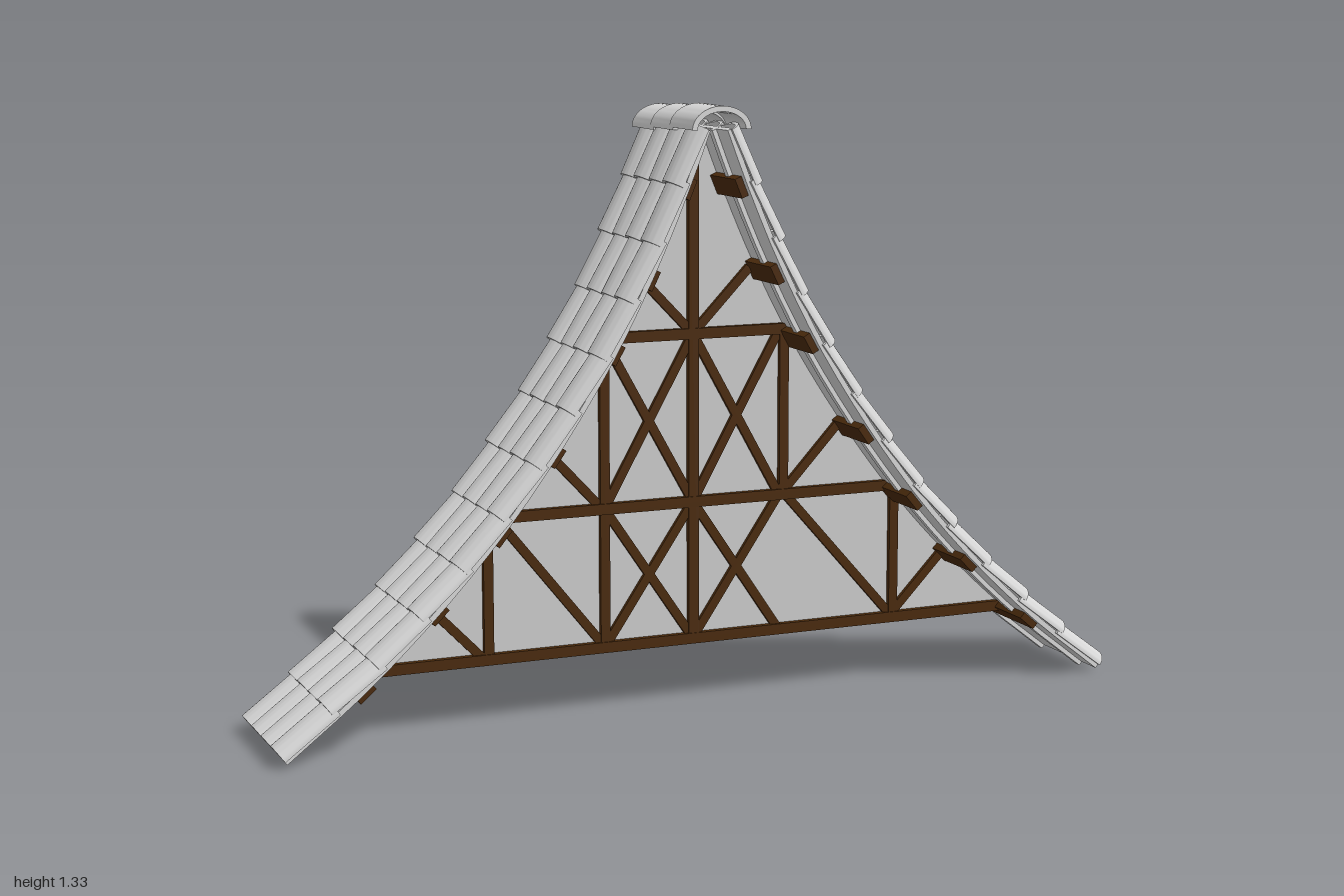
import * as THREE from 'three';
import { toCreasedNormals } from 'three/addons/utils/BufferGeometryUtils.js';

const tileMat = new THREE.MeshStandardMaterial({ color: 0xd8d8d8 });
tileMat.name = 'pale grey tile';
const wallMat = new THREE.MeshStandardMaterial({ color: 0xcccccc });
wallMat.name = 'grey plaster';
const woodMat = new THREE.MeshStandardMaterial({ color: 0x4a2a0c });
woodMat.name = 'dark wood';

// Underside line of one roof slope, from ridge to eave
const slope = new THREE.CatmullRomCurve3([
  [0.02, 1.285], [0.065, 1.17], [0.14, 1.0], [0.24, 0.81], [0.36, 0.625],
  [0.485, 0.46], [0.62, 0.31], [0.79, 0.15], [0.965, 0.012],
].map(([x, y]) => new THREE.Vector3(x, y, 0)));

const normalOf = (t) => new THREE.Vector3(-t.y, t.x, 0);

// Point on the slope moved outward by a distance
function slopePoint(u, off) {
  return slope.getPointAt(u).addScaledVector(normalOf(slope.getTangentAt(u)), off);
}

function add(parent, name, geometry, material) {
  const mesh = new THREE.Mesh(geometry, material);
  mesh.name = name;
  parent.add(mesh);
  return mesh;
}

function extrude(shape, depth, curveSegments = 10) {
  return new THREE.ExtrudeGeometry(shape, { depth, bevelEnabled: false, curveSegments });
}

// Arched cross-section shared by roof tiles and ridge caps
function archGeometry(rx, ry, thick, depth) {
  const s = new THREE.Shape();
  s.moveTo(rx, 0);
  s.absellipse(0, 0, rx, ry, 0, Math.PI, false);
  s.lineTo(-rx + thick, 0);
  s.absellipse(0, 0, rx - thick, ry - thick, Math.PI, 0, true);
  s.closePath();
  return toCreasedNormals(extrude(s, depth, 12), 0.7);
}

// Curved sheet following the slope between two offsets
function slopeSheet(lo, hi, width) {
  const pts = [];
  const n = 24;
  for (let i = 0; i <= n; i++) pts.push(slopePoint(i / n, lo));
  for (let i = n; i >= 0; i--) pts.push(slopePoint(i / n, hi));
  const g = extrude(new THREE.Shape(pts.map((p) => new THREE.Vector2(p.x, p.y))), width);
  return toCreasedNormals(g.translate(0, 0, -width / 2), 0.5);
}

function buildSlope() {
  const side = new THREE.Group();
  add(side, 'roofDeck', slopeSheet(0, 0.012, 0.31), tileMat);
  for (const z of [-0.085, 0.085]) {
    add(side, 'channelStrip', slopeSheet(-0.01, 0.002, 0.018), tileMat).position.z = z;
  }

  // Four columns of overlapping arched tiles
  const rows = 12;
  const tile = archGeometry(0.041, 0.03, 0.008, 1);
  for (let c = 0; c < 4; c++) {
    for (let r = 0; r < rows; r++) {
      const lift = (r + c) % 2 ? 0.015 : 0.018;
      const a = slopePoint(Math.max(0, (r - 0.1) / rows), 0.007);
      const b = slopePoint((r + 1) / rows, r === rows - 1 ? 0.01 : lift);
      const dir = b.clone().sub(a);
      const len = dir.length();
      dir.normalize();
      const m = new THREE.Matrix4().makeBasis(new THREE.Vector3(0, 0, -1), normalOf(dir), dir);
      const mesh = add(side, 'roofTile', tile, tileMat);
      mesh.quaternion.setFromRotationMatrix(m);
      mesh.position.copy(a).setZ((c - 1.5) * 0.0815);
      mesh.scale.z = len;
    }
  }

  // Purlins carrying the slope
  const purlin = new THREE.BoxGeometry(0.045, 0.024, 0.28);
  for (const y of [1.165, 0.975, 0.82, 0.61, 0.45, 0.295, 0.145]) {
    let lo = 0, hi = 1;
    for (let i = 0; i < 24; i++) {
      const mid = (lo + hi) / 2;
      if (slope.getPointAt(mid).y > y) lo = mid; else hi = mid;
    }
    const t = slope.getTangentAt(lo);
    const mesh = add(side, 'purlin', purlin, woodMat);
    mesh.position.copy(slopePoint(lo, -0.004));
    mesh.rotation.z = Math.atan2(t.y, t.x);
  }
  return side;
}

function buildGable() {
  const gable = new THREE.Group();
  gable.name = 'gable';

  // Plaster wall under both slopes
  const edge = slope.getSpacedPoints(40).filter((p) => p.y > 0.15);
  edge.push(new THREE.Vector3(0.79, 0.15, 0));
  const outline = [
    ...edge.map((p) => new THREE.Vector2(p.x, p.y)).reverse(),
    ...edge.map((p) => new THREE.Vector2(-p.x, p.y)),
  ];
  add(gable, 'gableWall', extrude(new THREE.Shape(outline), 0.016).translate(0, 0, -0.008), wallMat);

  // Timber frame, seen on both faces of the wall
  const beam = (x1, y1, x2, y2, w = 0.02, d = 0.034) => {
    const mesh = add(gable, 'timberBeam',
      new THREE.BoxGeometry(Math.hypot(x2 - x1, y2 - y1), w, d), woodMat);
    mesh.position.set((x1 + x2) / 2, (y1 + y2) / 2, 0);
    mesh.rotation.z = Math.atan2(y2 - y1, x2 - x1);
  };
  beam(-0.79, 0.15, 0.79, 0.15, 0.024, 0.044);
  beam(-0.485, 0.46, 0.485, 0.46, 0.024, 0.044);
  beam(-0.225, 0.835, 0.225, 0.835, 0.024, 0.044);
  beam(0, 0.15, 0, 1.27, 0.024, 0.04);
  beam(-0.21, 0.15, -0.21, 0.83, 0.022, 0.038);
  beam(0.22, 0.46, 0.22, 0.83, 0.022, 0.038);
  beam(-0.48, 0.15, -0.48, 0.45, 0.022, 0.038);
  beam(0.5, 0.15, 0.5, 0.45, 0.022, 0.038);
  beam(-0.46, 0.46, -0.21, 0.15);
  beam(0.225, 0.46, 0.5, 0.15);
  for (const s of [-1, 1]) {
    for (const [y1, y2] of [[0.15, 0.46], [0.46, 0.835]]) {
      beam(0, y1, s * 0.21, y2);
      beam(s * 0.21, y1, 0, y2);
    }
    beam(0, 0.835, s * 0.135, 0.975);
    beam(s * 0.215, 0.46, s * 0.36, 0.615);
    beam(s * 0.49, 0.15, s * 0.63, 0.295);
  }
  return gable;
}

export function createModel() {
  const model = new THREE.Group();
  model.name = 'tiledGableRoof';

  const left = buildSlope();
  left.name = 'leftSlope';
  const right = buildSlope();
  right.name = 'rightSlope';
  right.rotation.y = Math.PI;
  model.add(left, right, buildGable());

  // Three overlapping ridge caps, stepping down to the back
  const cap = archGeometry(0.068, 0.05, 0.012, 0.125);
  for (let i = 0; i < 3; i++) {
    const mesh = add(model, 'ridgeCap', cap, tileMat);
    mesh.position.set(0, 1.289 - i * 0.005, 0.045 - i * 0.1075);
    mesh.rotation.x = 0.01;
  }
  return model;
}
